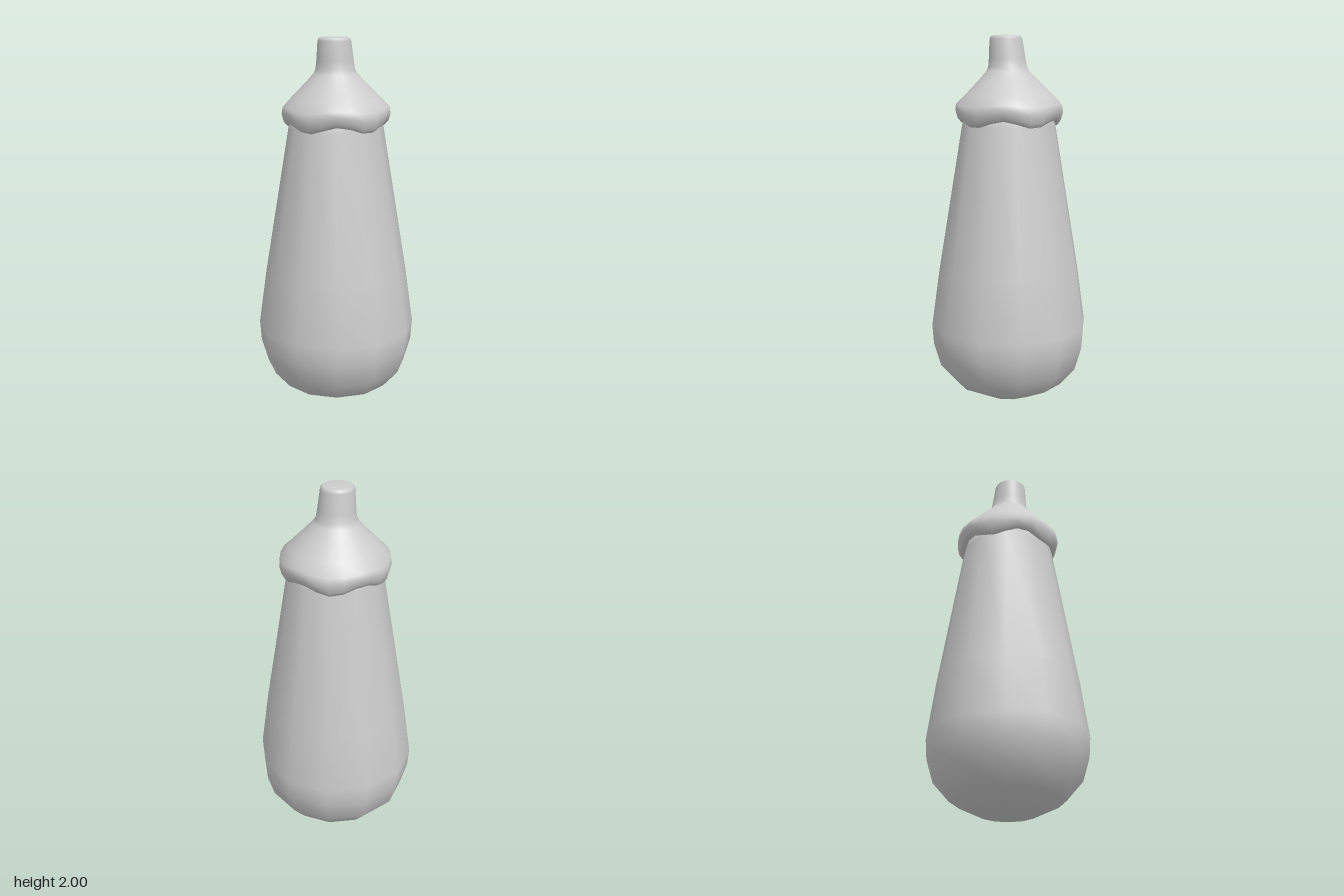
import * as THREE from 'three';
import { mergeVertices } from 'three/addons/utils/BufferGeometryUtils.js';

const skin = new THREE.MeshStandardMaterial({ color: 0xcccccc });
skin.name = 'light grey';

// Revolves a profile of [radius, height], bends it by a rule and smooths it without a seam
function turned(name, profile, sides, start, bend) {
  const points = profile.map(([r, y]) => new THREE.Vector2(r, y));
  const lathe = new THREE.LatheGeometry(points, sides, start);
  lathe.deleteAttribute('uv');
  lathe.deleteAttribute('normal');
  const geometry = mergeVertices(lathe, 1e-4);
  if (bend) {
    const pos = geometry.attributes.position;
    const v = new THREE.Vector3();
    for (let i = 0; i < pos.count; i++) {
      bend(v.fromBufferAttribute(pos, i));
      pos.setXYZ(i, v.x, v.y, v.z);
    }
  }
  geometry.computeVertexNormals();
  const mesh = new THREE.Mesh(geometry, skin);
  mesh.name = name;
  return mesh;
}

export function createModel() {
  const group = new THREE.Group();
  group.name = 'eggplant';

  // Twelve-sided fruit, widest near the bottom
  group.add(turned('fruitBody', [
    [0, 0.0], [0.148, 0.025], [0.30, 0.098], [0.385, 0.195], [0.422, 0.32],
    [0.43, 0.43], [0.386, 0.74], [0.254, 1.53], [0.235, 1.62], [0, 1.68],
  ], 12, Math.PI / 12));

  // Leafy cap with five drooping lobes, running up into a slightly leaning stem
  group.add(turned('capAndStem', [
    [0.225, 1.58], [0.246, 1.548], [0.262, 1.541], [0.28, 1.562], [0.29, 1.60],
    [0.285, 1.635], [0.24, 1.685], [0.17, 1.755], [0.118, 1.81], [0.104, 1.835],
    [0.098, 1.88], [0.088, 1.98], [0.083, 1.993], [0.072, 2.0], [0, 2.0],
  ], 24, 0, (v) => {
    const angle = Math.atan2(v.x, v.z);
    const droop = THREE.MathUtils.clamp((1.68 - v.y) / 0.12, 0, 1);
    const lean = THREE.MathUtils.clamp((v.y - 1.7) / 0.28, 0, 1);
    v.y -= 0.019 * droop * Math.cos(5 * (angle - 0.4));
    v.x -= 0.013 * lean;
    v.z += 0.012 * lean;
  }));

  return group;
}
